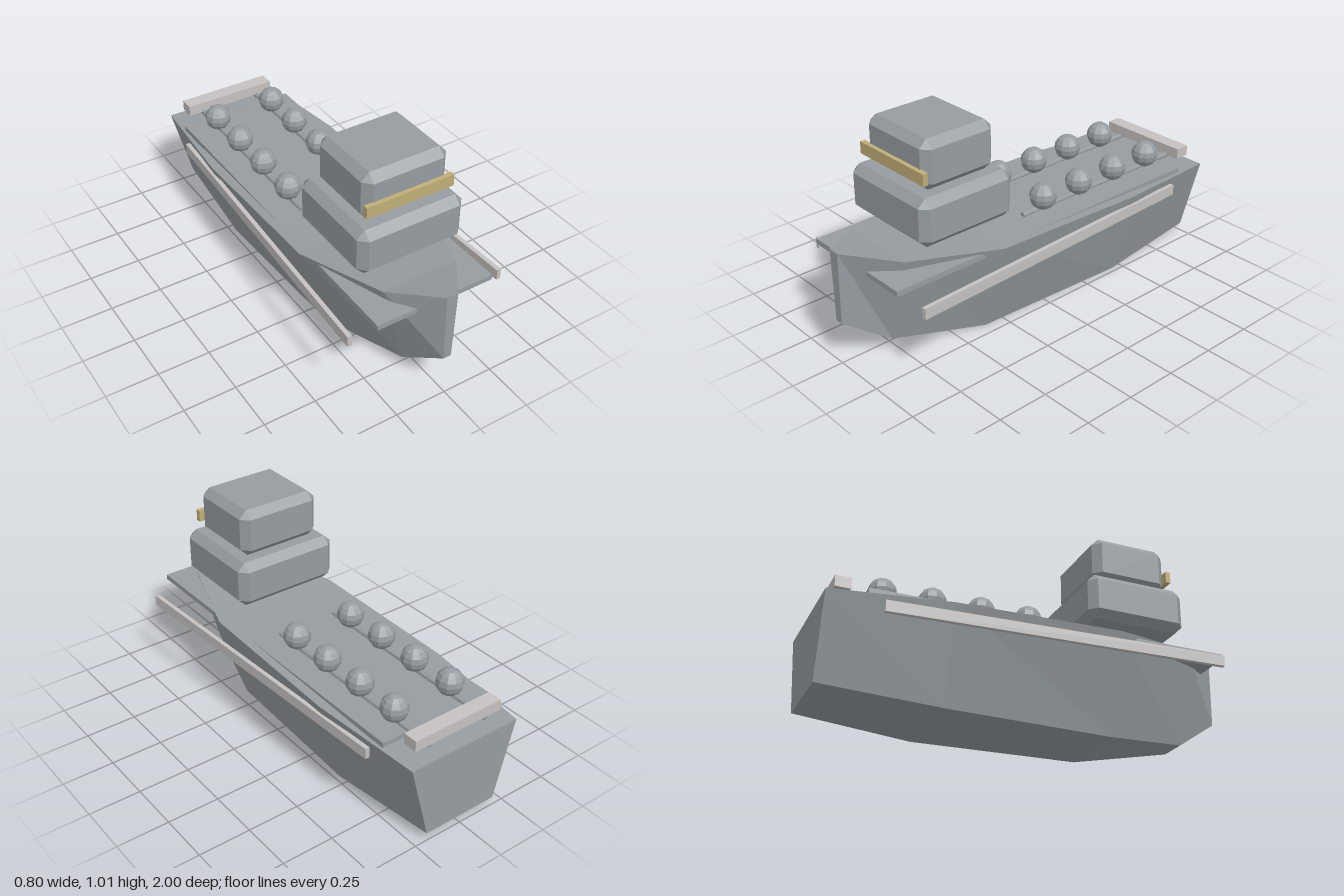
import * as THREE from 'three';
import { ConvexGeometry } from 'three/addons/geometries/ConvexGeometry.js';

const mat = (name, color) => {
  const m = new THREE.MeshStandardMaterial({ color });
  m.name = name;
  m.flatShading = true;
  return m;
};

// Hull lofted through four-cornered stations: [z, deckHalf, deckY, keelHalf, keelY]
function hullGeometry() {
  const stations = [
    [-1, 0.29, 0.42, 0.19, 0.04],
    [-0.45, 0.34, 0.44, 0.225, 0],
    [0.35, 0.33, 0.46, 0.19, 0],
    [0.78, 0.19, 0.5, 0.07, 0.06],
    [1, 0.028, 0.555, 0.019, 0.21],
  ];
  const rings = stations.map(([z, dw, dy, kw, ky]) => [
    [-dw, dy, z], [-kw, ky, z], [kw, ky, z], [dw, dy, z],
  ]);
  const pos = [];
  const quad = (a, b, c, d) => pos.push(...a, ...b, ...c, ...a, ...c, ...d);
  for (let i = 0; i < rings.length - 1; i++) {
    for (let k = 0; k < 4; k++) {
      const n = (k + 1) % 4;
      quad(rings[i][k], rings[i][n], rings[i + 1][n], rings[i + 1][k]);
    }
  }
  const s = rings[0], b = rings[rings.length - 1];
  quad(s[0], s[3], s[2], s[1]); // transom
  quad(b[0], b[1], b[2], b[3]); // bow
  const g = new THREE.BufferGeometry();
  g.setAttribute('position', new THREE.Float32BufferAttribute(pos, 3));
  g.computeVertexNormals();
  return g;
}

// Box with chamfered edges and triangular corners
function chamferBox(w, h, d, c) {
  const pts = [];
  for (const sx of [-1, 1]) for (const sy of [-1, 1]) for (const sz of [-1, 1]) {
    for (let axis = 0; axis < 3; axis++) {
      const cut = [c, c, c];
      cut[axis] = 0;
      pts.push(new THREE.Vector3(
        sx * (w / 2 - cut[0]), sy * (h / 2 - cut[1]), sz * (d / 2 - cut[2])));
    }
  }
  return new ConvexGeometry(pts);
}

export function createModel() {
  const grey = mat('hull grey', 0x969ca0);
  const pale = mat('pale trim', 0xc4c1c0);
  const gold = mat('gold visor', 0xc0ae78);

  const group = new THREE.Group();
  group.name = 'ship';
  const add = (name, geometry, material, x, y, z) => {
    const m = new THREE.Mesh(geometry, material);
    m.name = name;
    m.position.set(x, y, z);
    group.add(m);
    return m;
  };

  add('hull', hullGeometry(), grey, 0, 0, 0);
  add('deckPlate', new THREE.BoxGeometry(0.59, 0.025, 1.72), grey, 0, 0.443, 0.04);

  // Two-storey bridge with visor
  add('lowerCabin', chamferBox(0.53, 0.225, 0.495, 0.037), grey, 0, 0.668, 0.482);
  add('upperCabin', chamferBox(0.42, 0.23, 0.38, 0.037), grey, 0, 0.896, 0.48);
  add('visor', new THREE.BoxGeometry(0.436, 0.056, 0.025), gold, 0, 0.857, 0.678);

  // Stern bar
  add('sternBar', new THREE.BoxGeometry(0.472, 0.052, 0.072), pale, 0, 0.491, -0.916);

  const ball = new THREE.SphereGeometry(0.065, 10, 8);
  const rod = new THREE.CylinderGeometry(0.013, 0.013, 1.04, 8).rotateX(Math.PI / 2);
  for (const [side, label] of [[1, 'left'], [-1, 'right']]) {
    // Deck rod with its row of spheres
    add(label + 'DeckRod', rod, grey, side * 0.155, 0.461, -0.43);
    for (let i = 0; i < 4; i++) {
      add(label + 'Sphere' + (i + 1), ball, grey, side * 0.155, 0.517, -0.037 - i * 0.229);
    }
    // Side rail splayed outwards to the front
    const rail = add(label + 'SideRail', new THREE.BoxGeometry(0.021, 0.052, 1.595), pale,
      side * 0.354, 0.371, 0.044);
    rail.rotation.y = side * 0.0445;
  }
  return group;
}
